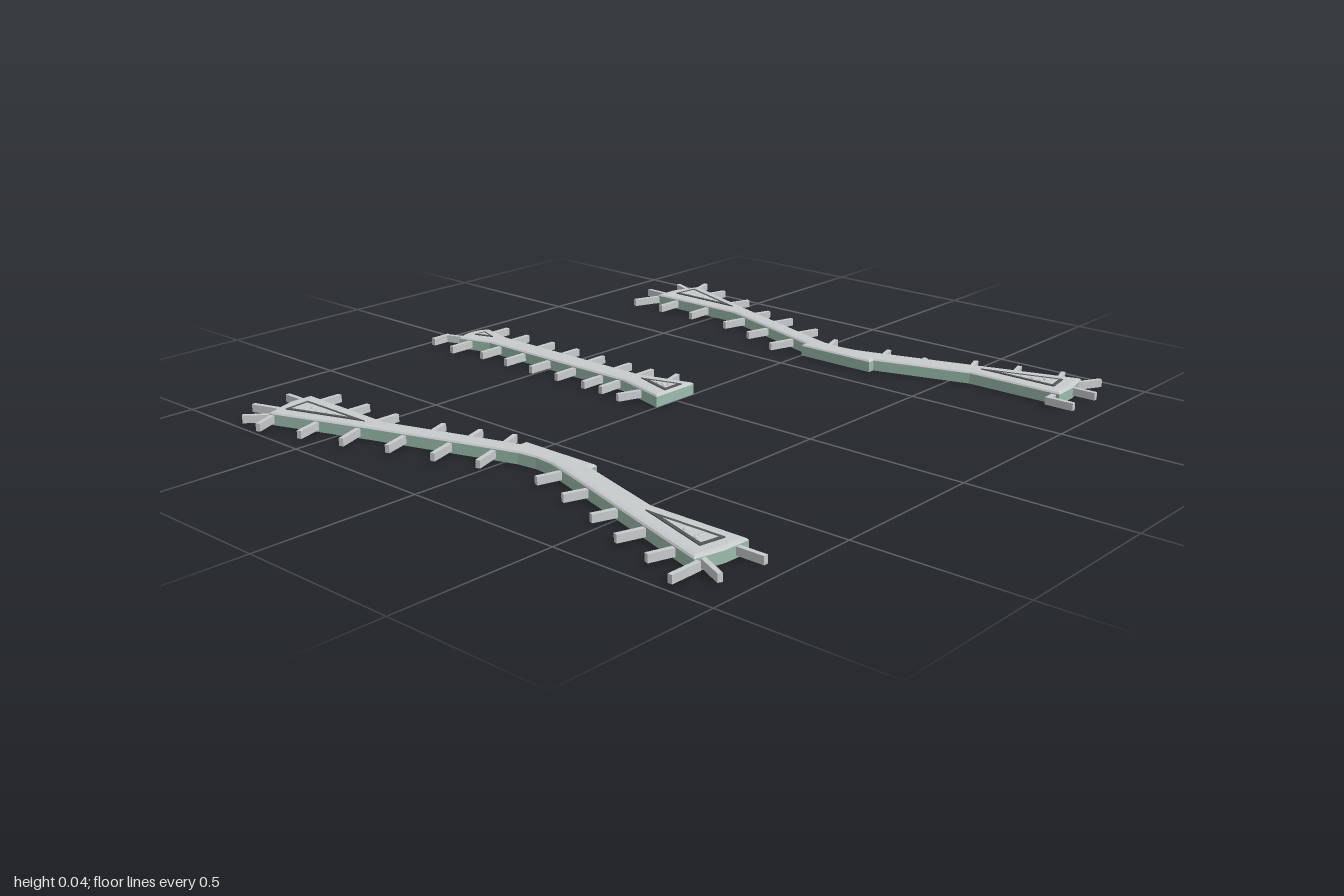
import * as THREE from 'three';

const mat = (name, color) => {
  const m = new THREE.MeshStandardMaterial({ color });
  m.name = name;
  return m;
};

// Plan points are [x, z]; slabs are extruded upwards from y0.
const toPath = (pts, P = THREE.Shape) => new P(pts.map(([x, z]) => new THREE.Vector2(x, -z)));

function slab(name, shape, y0, y1, material, bevel = 0, inset = 0) {
  const geo = new THREE.ExtrudeGeometry(shape, {
    depth: y1 - y0 - 2 * bevel, bevelEnabled: bevel > 0, bevelThickness: bevel,
    bevelSize: inset, bevelOffset: -inset, bevelSegments: 2,
  });
  geo.rotateX(-Math.PI / 2).translate(0, y0 + bevel, 0);
  const mesh = new THREE.Mesh(geo, material);
  mesh.name = name;
  return mesh;
}

// Thin upright wall following an outline, open above and below.
function wall(outline, y0, y1, material) {
  const pos = [];
  outline.forEach(([ax, az], i) => {
    const [bx, bz] = outline[(i + 1) % outline.length];
    pos.push(ax, y0, az, bx, y0, bz, bx, y1, bz, ax, y0, az, bx, y1, bz, ax, y1, az);
  });
  const geo = new THREE.BufferGeometry();
  geo.setAttribute('position', new THREE.Float32BufferAttribute(pos, 3));
  geo.computeVertexNormals();
  const mesh = new THREE.Mesh(geo, material);
  mesh.name = 'sideWall';
  return mesh;
}

// Bar running from a tip point to a base point, sunk a little into the wall.
function rib([tx, tz, bx, bz], material) {
  const len = Math.hypot(bx - tx, bz - tz), full = len + 0.006;
  const ux = (bx - tx) / len, uz = (bz - tz) / len;
  const mesh = new THREE.Mesh(new THREE.BoxGeometry(full, 0.023, 0.014), material);
  mesh.position.set(tx + ux * full / 2, 0.0225, tz + uz * full / 2);
  mesh.rotation.y = -Math.atan2(uz, ux);
  mesh.name = 'rib';
  return mesh;
}

// Dark triangular frame with small lumps of rubble inside it.
function trianglePanel(tri, dark, grey) {
  const g = new THREE.Group();
  g.name = 'trianglePanel';
  const d = (p, q) => Math.hypot(p[0] - q[0], p[1] - q[1]);
  const [a, b, c] = tri, w = [d(b, c), d(c, a), d(a, b)], per = w[0] + w[1] + w[2];
  const centre = [0, 1].map(k => (a[k] * w[0] + b[k] * w[1] + c[k] * w[2]) / per);
  const area2 = Math.abs((b[0] - a[0]) * (c[1] - a[1]) - (c[0] - a[0]) * (b[1] - a[1]));
  const r = area2 / per, k = 1 - Math.min(0.01, r * 0.4) / r;
  const inner = tri.map(p => [0, 1].map(i => centre[i] + (p[i] - centre[i]) * k));
  const shape = toPath(tri);
  shape.holes.push(toPath(inner, THREE.Path));
  g.add(slab('triangleFrame', shape, 0.038, 0.046, dark));
  const spots = [[0.6, 0.2, 0.2], [0.2, 0.6, 0.2], [0.42, 0.38, 0.2], [0.25, 0.25, 0.5]];
  for (const s of spots) {
    const lump = new THREE.Mesh(new THREE.SphereGeometry(r * 0.24, 10, 6), grey);
    const at = i => inner[0][i] * s[0] + inner[1][i] * s[1] + inner[2][i] * s[2];
    lump.position.set(at(0), 0.042, at(1));
    lump.scale.y = 0.006 / (r * 0.24);
    lump.name = 'rubbleLump';
    g.add(lump);
  }
  return g;
}

// Plan of the +x bent beam: inner edge forwards, then outer edge back.
const bentOutline = [
  [0.755, -0.755], [0.76, -0.415], [0.63, 0], [0.607, 0], [0.607, 0.265], [0.63, 0.265],
  [0.717, 0.56], [0.717, 0.868], [0.8, 0.865], [0.887, 0.845], [0.69, 0.215], [0.675, 0.16],
  [0.67, 0.1], [0.677, 0.04], [0.695, -0.02], [0.82, -0.41], [0.928, -0.72], [0.83, -0.755],
];
const bentTriangles = [
  [[0.8, -0.71], [0.885, -0.7], [0.8, -0.45]],
  [[0.757, 0.575], [0.832, 0.815], [0.755, 0.828]],
];
const straightOutline = [
  [-0.07, -0.88], [-0.035, -0.895], [0, -0.9], [0.03, -0.895], [0.06, -0.88], [0.032, -0.77],
  [0.032, -0.18], [0.08, 0], [-0.085, 0], [-0.038, -0.18], [-0.038, -0.77],
];
const straightTriangles = [
  [[-0.023, -0.858], [0.021, -0.858], [-0.001, -0.795]],
  [[0, -0.14], [0.038, -0.01], [-0.038, -0.01]],
];

// Ribs: tip x, tip z, base x, base z.
const leftRibs = [
  [0.67, -0.79, 0.76, -0.755], [0.805, -0.845, 0.805, -0.76], [0.93, -0.815, 0.9, -0.745],
  [1, -0.745, 0.92, -0.72], [0.97, -0.63, 0.895, -0.65], [0.93, -0.485, 0.845, -0.515],
  [0.67, -0.668, 0.755, -0.668], [0.67, -0.53, 0.755, -0.53], [0.66, -0.37, 0.735, -0.35],
  [0.62, -0.235, 0.69, -0.215], [0.57, -0.1, 0.65, -0.075], [0.865, -0.34, 0.795, -0.365],
  [0.845, -0.225, 0.765, -0.25], [0.8, -0.085, 0.72, -0.11], [0.745, 0.035, 0.68, 0.055],
  [0.765, 0.23, 0.695, 0.25], [0.77, 0.365, 0.735, 0.375], [0.85, 0.5, 0.78, 0.525],
  [0.893, 0.63, 0.823, 0.65], [0.93, 0.76, 0.86, 0.785], [0.94, 0.882, 0.87, 0.845],
  [0.813, 0.935, 0.813, 0.86], [0.684, 0.935, 0.684, 0.85], [0.678, 0.85, 0.717, 0.85],
];
const rightRibs = [
  [-0.995, -0.68, -0.925, -0.71], [-0.98, -0.775, -0.92, -0.72], [-0.9, -0.835, -0.87, -0.74],
  [-0.78, -0.835, -0.78, -0.75], [-0.68, -0.717, -0.76, -0.717], [-0.68, -0.585, -0.76, -0.585],
  [-0.68, -0.455, -0.76, -0.455], [-0.955, -0.545, -0.875, -0.57], [-0.915, -0.41, -0.835, -0.44],
  [-0.865, -0.275, -0.785, -0.3], [-0.825, -0.135, -0.745, -0.16], [-0.78, -0.005, -0.705, -0.03],
  [-0.645, -0.295, -0.715, -0.27], [-0.61, -0.18, -0.685, -0.155], [-0.575, -0.08, -0.65, -0.05],
  [-0.76, 0.195, -0.69, 0.215], [-0.798, 0.33, -0.728, 0.355], [-0.845, 0.475, -0.775, 0.5],
  [-0.895, 0.605, -0.82, 0.63], [-0.93, 0.737, -0.86, 0.76], [-0.98, 0.855, -0.887, 0.855],
  [-0.9, 0.935, -0.86, 0.85], [-0.755, 0.95, -0.755, 0.866],
];
const straightRibs = [
  [0.125, -0.86, 0.055, -0.86], [-0.14, -0.84, -0.06, -0.84], [-0.12, -0.952, -0.058, -0.952],
  [-0.062, -0.952, -0.038, -0.89], [0.128, -0.107, 0.053, -0.085], [-0.134, -0.112, -0.06, -0.085],
];
for (const z of [-0.75, -0.63, -0.52, -0.405, -0.29, -0.197]) straightRibs.push([0.112, z, 0.03, z]);
for (const z of [-0.722, -0.61, -0.497, -0.385, -0.27, -0.197]) straightRibs.push([-0.118, z, -0.036, z]);

export function createModel() {
  const grey = mat('pale grey', 0xc8cbcd);
  const dark = mat('dark grey', 0x55585a);
  const green = mat('pale grey green', 0x9abcac);
  green.side = THREE.DoubleSide;

  // Hollow beam: green walls under a shallow roof with sloping edges
  function beam(name, outline, triangles, ribs) {
    const g = new THREE.Group();
    g.name = name;
    g.add(wall(outline, 0.004, 0.036, green));
    g.add(slab('roof', toPath(outline), 0.029, 0.043, grey, 0.0065, 0.013));
    for (const t of triangles) g.add(trianglePanel(t, dark, grey));
    for (const r of ribs) g.add(rib(r, grey));
    return g;
  }

  // Reversing the order keeps the outline turning the same way
  const mirror = pts => pts.map(([x, z]) => [-x, z]).reverse();
  const model = new THREE.Group();
  model.name = 'ribbedBeams';
  model.add(beam('leftBeam', bentOutline, bentTriangles, leftRibs));
  model.add(beam('rightBeam', mirror(bentOutline), bentTriangles.map(mirror), rightRibs));
  model.add(beam('middleBeam', straightOutline, straightTriangles, straightRibs));
  return model;
}
